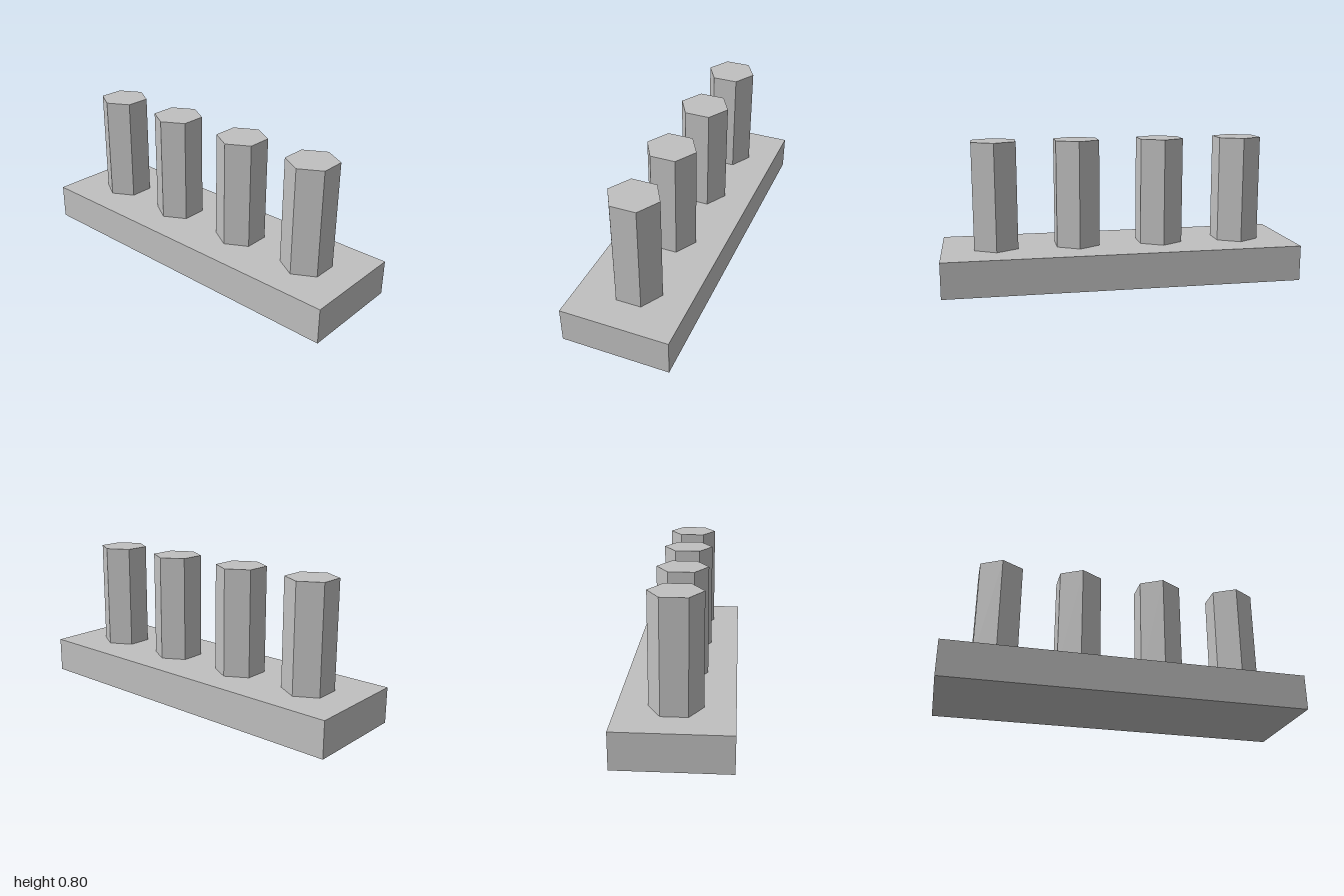
import * as THREE from 'three';

export function createModel() {
  const model = new THREE.Group();
  model.name = 'pegRack';

  const grey = new THREE.MeshStandardMaterial({ color: 0xc0c0c0, flatShading: true });
  grey.name = 'grey';

  // Slab base
  const base = new THREE.Mesh(new THREE.BoxGeometry(2, 0.2, 0.6), grey);
  base.name = 'base';
  base.position.y = 0.1;
  model.add(base);

  // Four hexagonal posts standing on the base, corners pointing front and back
  const postGeometry = new THREE.CylinderGeometry(0.14, 0.14, 0.6, 6);
  [-0.7, -0.24, 0.24, 0.7].forEach((x, i) => {
    const post = new THREE.Mesh(postGeometry, grey);
    post.name = `post${i + 1}`;
    post.position.set(x, 0.5, 0);
    model.add(post);
  });

  return model;
}
